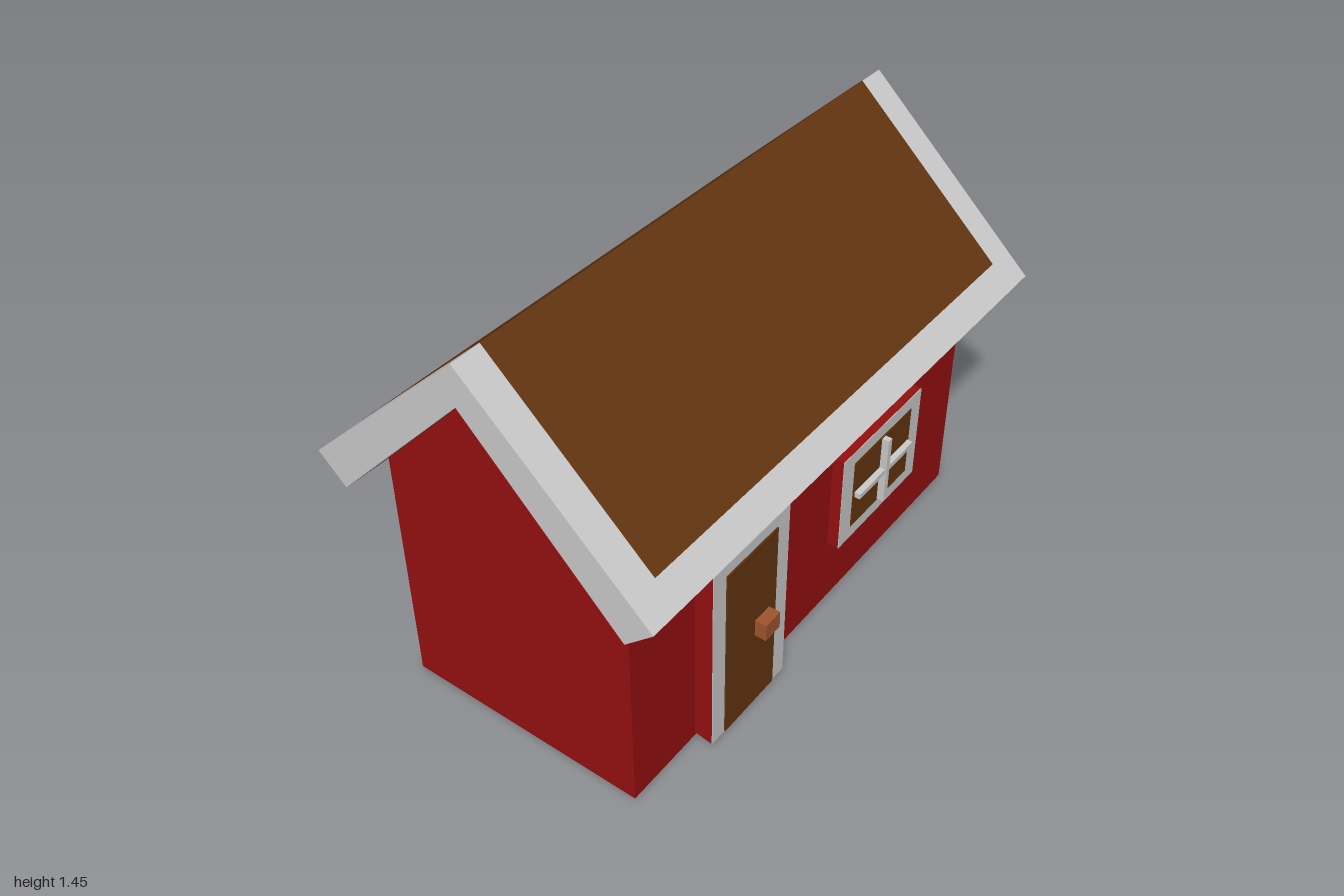
import * as THREE from 'three';

const paint = (color) => new THREE.MeshStandardMaterial({ color, flatShading: true, side: THREE.DoubleSide });
const red = paint(0x960f0f), brown = paint(0x643510), knob = paint(0xa0552d), grey = paint(0xcccccc);

function add(group, name, geometry, material) {
  const mesh = new THREE.Mesh(geometry, material);
  mesh.name = name;
  group.add(mesh);
  return mesh;
}

// Box given by its limits on each axis
function block(group, name, material, [x0, x1], [y0, y1], [z0, z1]) {
  const geo = new THREE.BoxGeometry(x1 - x0, y1 - y0, z1 - z0);
  geo.translate((x0 + x1) / 2, (y0 + y1) / 2, (z0 + z1) / 2);
  return add(group, name, geo, material);
}

// Profile in x,y extruded along z, centred on z = 0
function prism(group, name, material, points, length) {
  const shape = new THREE.Shape(points.map(([x, y]) => new THREE.Vector2(x, y)));
  const geo = new THREE.ExtrudeGeometry(shape, { depth: length, bevelEnabled: false });
  geo.translate(0, 0, -length / 2);
  return add(group, name, geo, material);
}

// Flat sheet spanning two x,y points and running along z
function sheet(group, name, material, [x0, y0], [x1, y1], length) {
  const geo = new THREE.PlaneGeometry(Math.hypot(x1 - x0, y1 - y0), length);
  geo.rotateX(-Math.PI / 2).rotateZ(Math.atan2(y1 - y0, x1 - x0));
  geo.translate((x0 + x1) / 2, (y0 + y1) / 2, 0);
  return add(group, name, geo, material);
}

// Red surround with a grey facing on its outer side
function surround(group, name, x, y, z, flare) {
  const box = block(group, name + 'Surround', red, [0.43, x], y, z);
  const pos = box.geometry.attributes.position;
  const mid = (y[0] + y[1]) / 2;
  for (let i = 0; i < pos.count; i++) {
    if (pos.getX(i) < 0.44) pos.setY(i, pos.getY(i) - Math.sign(pos.getY(i) - mid) * flare);
  }
  box.geometry.computeVertexNormals();
  block(group, name + 'Facing', grey, [x, x + 0.002], y, z);
}

export function createModel() {
  const house = new THREE.Group();
  house.name = 'house';

  // Walls with gables
  prism(house, 'walls', red, [[-0.43, 0], [0.43, 0], [0.43, 0.867], [-0.01, 1.31], [-0.43, 0.867]], 1.79);

  // Roof slab with overhang
  const roof = new THREE.Group();
  roof.name = 'roof';
  house.add(roof);
  prism(roof, 'roofSlab', grey,
    [[-0.01, 1.445], [-0.6, 0.88], [-0.505, 0.79], [-0.01, 1.31], [0.505, 0.79], [0.6, 0.88]], 2);

  // Brown covering above and red lining below, on both slopes
  for (const side of [1, -1]) {
    const label = side > 0 ? 'left' : 'right';
    const eaveY = 1.445 - (0.525 + side * 0.01) * 0.565 / (0.6 + side * 0.01);
    sheet(roof, label + 'RoofCovering', brown, [-0.01, 1.448], [side * 0.525, eaveY + 0.003], 1.79);
    sheet(roof, label + 'RoofLining', red, [-0.01, 1.307], [side * 0.504, 0.788], 2);
  }

  // Door
  const door = new THREE.Group();
  door.name = 'door';
  house.add(door);
  surround(door, 'door', 0.493, [0.003, 0.715], [0.225, 0.603], 0.01);
  block(door, 'doorPanel', brown, [0.48, 0.5], [0.008, 0.66], [0.29, 0.542]);
  block(door, 'doorHandle', knob, [0.498, 0.54], [0.305, 0.367], [0.325, 0.398]);

  // Window with crossed glazing bars
  const win = new THREE.Group();
  win.name = 'window';
  house.add(win);
  surround(win, 'window', 0.47, [0.25, 0.61], [-0.588, -0.115], 0);
  block(win, 'windowPane', brown, [0.46, 0.475], [0.3, 0.565], [-0.525, -0.18]);
  block(win, 'verticalBar', grey, [0.47, 0.5], [0.305, 0.56], [-0.362, -0.341]);
  block(win, 'horizontalBar', grey, [0.47, 0.496], [0.422, 0.441], [-0.517, -0.188]);

  return house;
}
